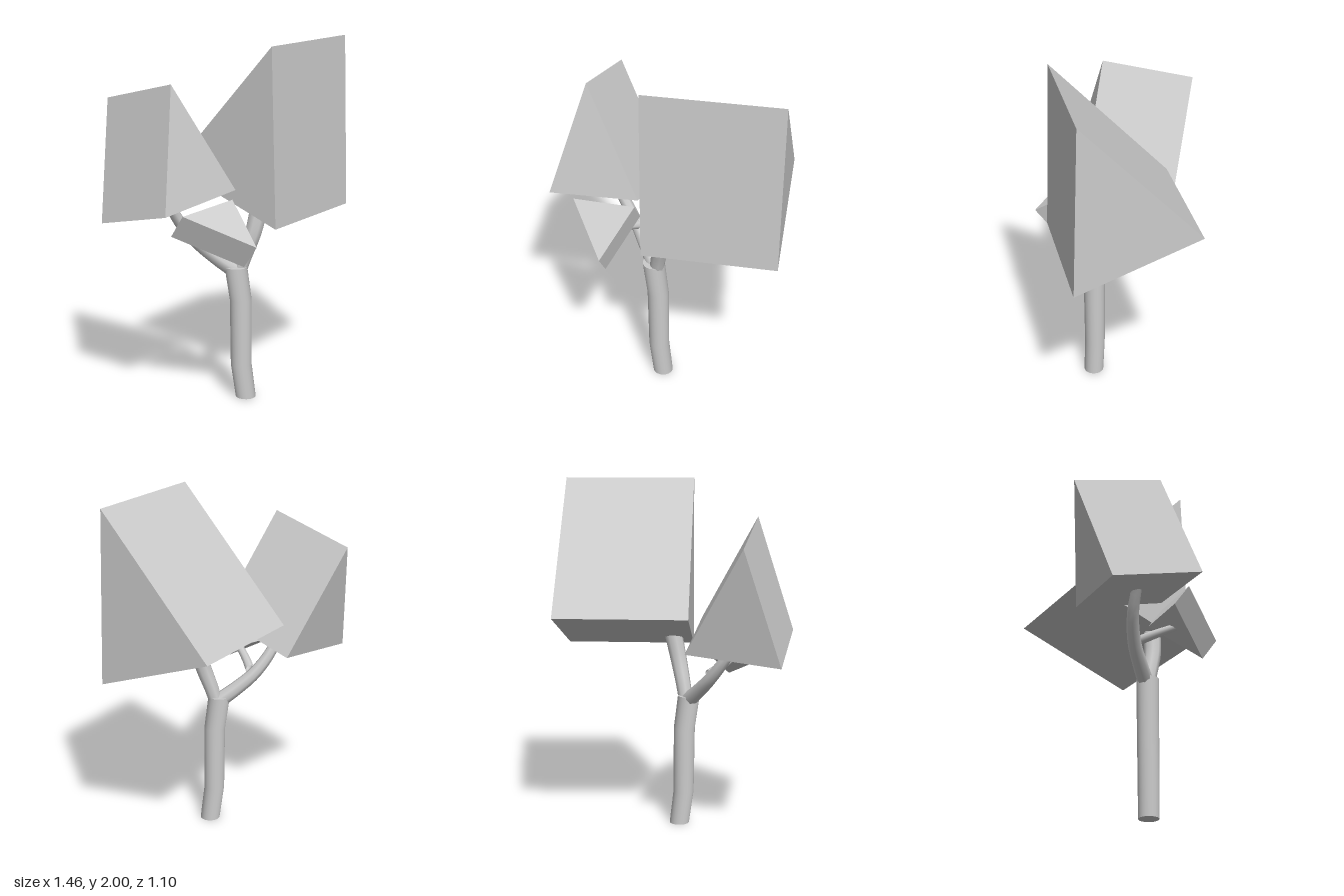
import * as THREE from 'three';

const material = new THREE.MeshStandardMaterial({ color: 0xcccccc, side: THREE.DoubleSide });
const vec = (p) => new THREE.Vector3(...p);

function addMesh(group, name, geometry) {
  const mesh = new THREE.Mesh(geometry, material);
  mesh.name = name;
  group.add(mesh);
}

// Triangular prism: one triangle swept along a vector
function prism(triangle, sweep) {
  const d = vec(sweep);
  let [a, b, c] = triangle.map(vec);
  const normal = b.clone().sub(a).cross(c.clone().sub(a));
  if (normal.dot(d) > 0) [b, c] = [c, b]; // near cap faces away from the sweep
  const near = [a, b, c];
  const far = near.map((p) => p.clone().add(d));
  const points = [...near, far[0], far[2], far[1]];
  for (let i = 0; i < 3; i++) {
    const j = (i + 1) % 3;
    points.push(near[i], far[i], far[j], near[i], far[j], near[j]);
  }
  const geometry = new THREE.BufferGeometry().setFromPoints(points);
  geometry.computeVertexNormals();
  return geometry;
}

// Curved limb whose radius runs from r0 to r1
function limb(path, r0, r1, sides) {
  const segments = 12;
  const curve = new THREE.CatmullRomCurve3(path.map(vec));
  const geometry = new THREE.TubeGeometry(curve, segments, 1, sides);
  const pos = geometry.attributes.position;
  const v = new THREE.Vector3();
  for (let i = 0; i <= segments; i++) {
    const t = i / segments;
    const centre = curve.getPointAt(t);
    for (let j = 0; j <= sides; j++) {
      const k = i * (sides + 1) + j;
      v.fromBufferAttribute(pos, k).sub(centre);
      v.multiplyScalar(THREE.MathUtils.lerp(r0, r1, t)).add(centre);
      pos.setXYZ(k, v.x, v.y, v.z);
    }
  }
  return geometry;
}

// Trunk: a cylinder whose rings are shifted to give two gentle kinks
function trunkGeometry() {
  const rings = [[0.033, 0], [0.004, 0.2], [0.0, 0.58], [-0.03, 0.775]]; // x, y
  const geometry = new THREE.CylinderGeometry(0.063, 0.057, 3, 20, 3);
  const pos = geometry.attributes.position;
  for (let i = 0; i < pos.count; i++) {
    const [x, y] = rings[Math.round(pos.getY(i) + 1.5)];
    pos.setXYZ(i, pos.getX(i) + x, y, pos.getZ(i) + 0.167);
  }
  return geometry;
}

export function createModel() {
  const tree = new THREE.Group();
  tree.name = 'tree';

  addMesh(tree, 'trunk', trunkGeometry());

  // Branches
  addMesh(tree, 'leftBranch', limb(
    [[-0.01, 0.74, 0.167], [0.015, 0.83, 0.18], [0.06, 0.97, 0.2], [0.1, 1.13, 0.2]], 0.04, 0.052, 8));
  addMesh(tree, 'rightBranch', limb(
    [[-0.03, 0.75, 0.16], [-0.12, 0.82, 0.125], [-0.22, 0.91, 0.09], [-0.32, 1.03, 0.08], [-0.4, 1.16, 0.1]],
    0.045, 0.028, 8));
  addMesh(tree, 'sideTwig', limb(
    [[-0.2, 0.93, 0.11], [-0.22, 0.96, 0.2], [-0.235, 1.0, 0.32]], 0.028, 0.022, 8));

  // Wedge-shaped foliage masses
  addMesh(tree, 'largeFoliage', prism(
    [[0.073, 2, 0.38], [0.09, 1.03, 0.41], [-0.25, 1.286, -0.19]], [0.64, 0, -0.365]));
  addMesh(tree, 'mediumFoliage', prism(
    [[-0.43, 1.815, 0.235], [-0.07, 1.228, 0.247], [-0.55, 1.17, 0.442]], [-0.182, -0.122, -0.475]));
  addMesh(tree, 'smallFoliage', prism(
    [[-0.087, 0.986, 0.547], [-0.09, 1.178, 0.252], [-0.43, 1.148, 0.378]], [-0.033, -0.123, -0.081]));

  return tree;
}
